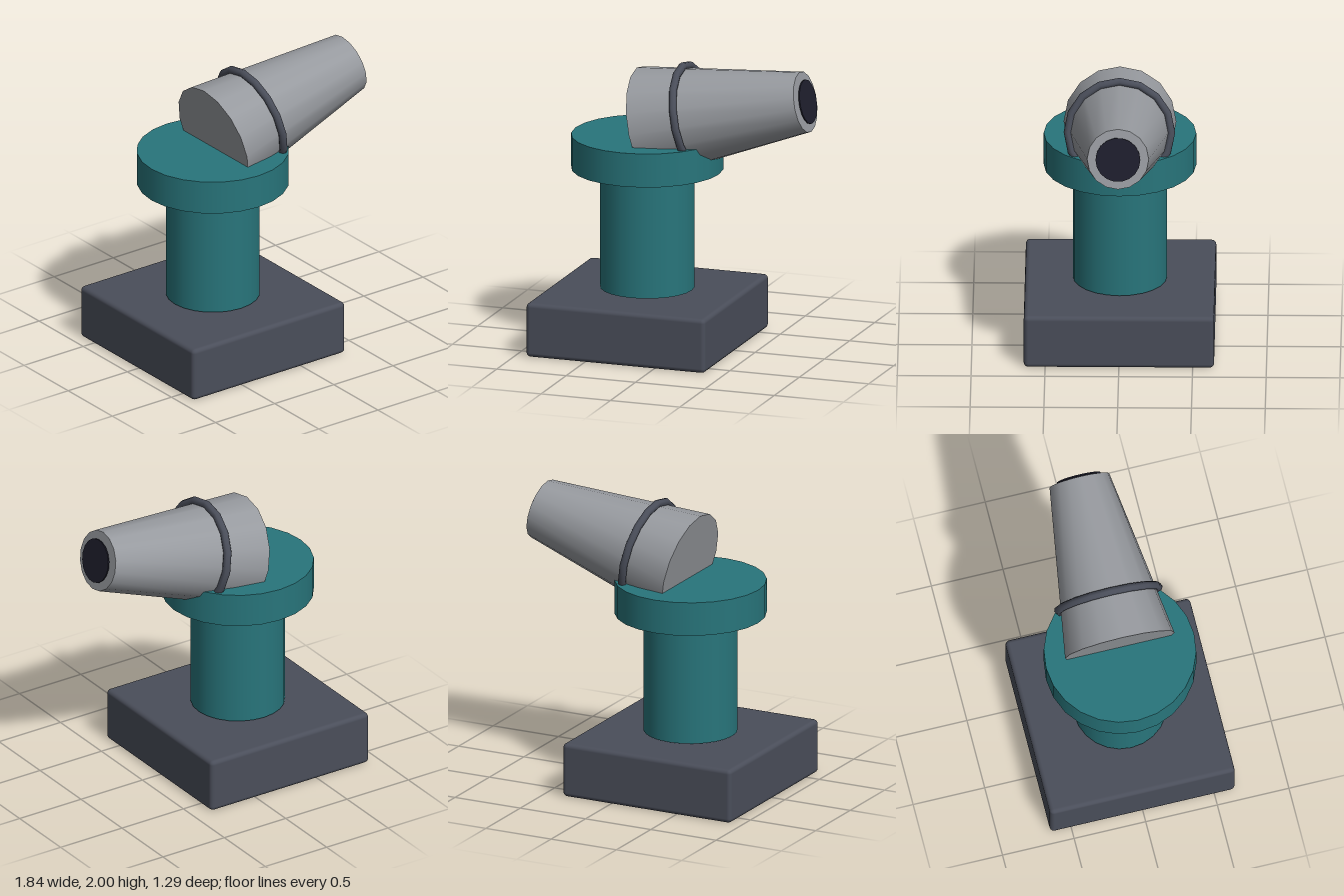
import * as THREE from 'three';
import { RoundedBoxGeometry } from 'three/addons/geometries/RoundedBoxGeometry.js';

function material(name, color) {
  const m = new THREE.MeshStandardMaterial({ color });
  m.name = name;
  return m;
}

export function createModel() {
  const model = new THREE.Group();
  model.name = 'turret';
  const slate = material('slate', 0x4a4e5a);
  const teal = material('teal', 0x28757b);
  const steel = material('steel grey', 0x979a9f);
  const black = material('bore black', 0x1e1e2c);

  const add = (parent, name, geometry, mat, x = 0, y = 0) => {
    const mesh = new THREE.Mesh(geometry, mat);
    mesh.name = name;
    mesh.position.set(x, y, 0);
    parent.add(mesh);
    return mesh;
  };

  // Stand: bevelled plinth, column and turntable share one upright axis
  const standX = -0.277;
  add(model, 'base', new RoundedBoxGeometry(1.29, 0.378, 1.29, 2, 0.03), slate, standX, 0.192);
  add(model, 'column', new THREE.CylinderGeometry(0.32, 0.32, 0.825, 24), teal, standX, 0.808);
  add(model, 'turntable', new THREE.CylinderGeometry(0.517, 0.517, 0.235, 24), teal, standX, 1.347);

  // Barrel group: local +x runs along the barrel from its rear centre
  const barrel = new THREE.Group();
  barrel.name = 'barrelAssembly';
  barrel.position.set(-0.272, 1.552, 0);
  barrel.rotation.z = THREE.MathUtils.degToRad(12.1);
  model.add(barrel);

  const length = 1.16;
  const body = new THREE.CylinderGeometry(0.209, 0.382, length, 16).rotateZ(-Math.PI / 2);
  add(barrel, 'barrel', body, steel, length / 2);

  // Band around the barrel
  const band = new THREE.TorusGeometry(0.35, 0.028, 8, 16).rotateY(Math.PI / 2);
  add(barrel, 'barrelBand', band, slate, 0.33);

  // Dark disc just ahead of the barrel's front face
  const bore = new THREE.CylinderGeometry(0.152, 0.152, 0.009, 18).rotateZ(-Math.PI / 2);
  add(barrel, 'muzzleDisc', bore, black, length + 0.018);

  return model;
}
